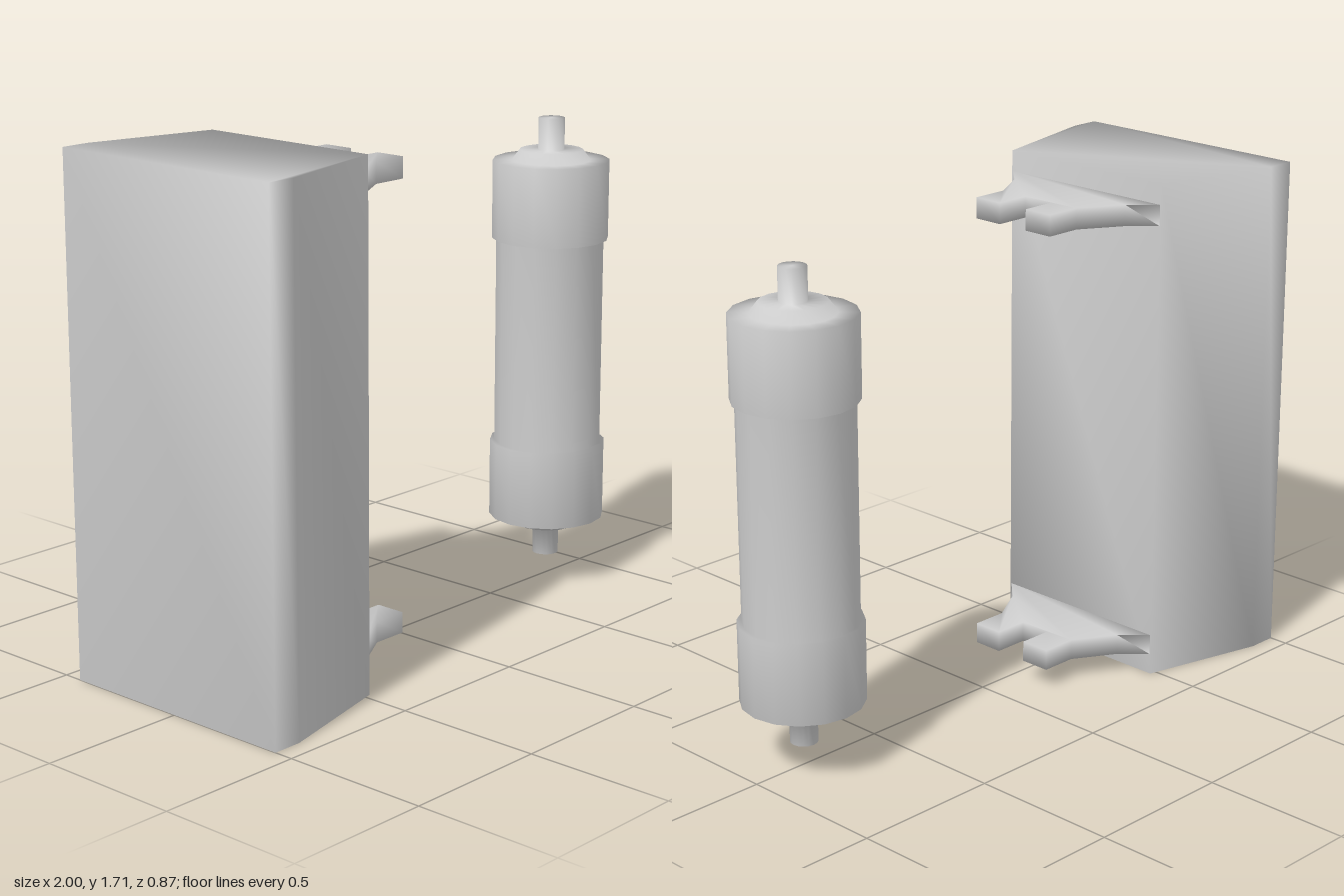
import * as THREE from 'three';
import { mergeVertices } from 'three/addons/utils/BufferGeometryUtils.js';

const material = new THREE.MeshStandardMaterial({ color: 0xcccccc });

// Weld shared corners so shading runs smoothly over each part
function smooth(geometry) {
  geometry.deleteAttribute('normal');
  geometry.deleteAttribute('uv');
  const welded = mergeVertices(geometry, 1e-4);
  welded.computeVertexNormals();
  return welded;
}

function addMesh(parent, name, geometry) {
  const mesh = new THREE.Mesh(geometry, material);
  mesh.name = name;
  parent.add(mesh);
  return mesh;
}

// Upright prism from one half of a plan outline [x, z], mirrored in z
function prism(half, height) {
  const outline = [...half, ...half.map(([x, z]) => [x, -z]).reverse()];
  const shape = new THREE.Shape(outline.map(([x, z]) => new THREE.Vector2(x, z)));
  const geometry = new THREE.ExtrudeGeometry(shape, { depth: height, bevelEnabled: false });
  geometry.rotateX(-Math.PI / 2);
  return smooth(geometry);
}

export function createModel() {
  const model = new THREE.Group();

  // Tapered solid housing
  const holder = new THREE.Group();
  holder.name = 'holder';
  addMesh(holder, 'housing', prism([[-1, 0.435], [-0.9, 0.435], [-0.477, 0.33]], 1.707));

  // Forked brackets at both ends
  const fork = prism([
    [-0.477, 0.325], [-0.4, 0.245], [-0.26, 0.163], [-0.137, 0.163], [-0.137, 0.057], [-0.255, 0.057],
  ], 0.07);
  addMesh(holder, 'lowerBracket', fork).position.y = 0.071;
  addMesh(holder, 'upperBracket', fork).position.y = 1.567;
  model.add(holder);

  // Free-standing cartridge: tube, end caps, collars and pins in one turned profile
  const upper = [
    [0.185, 0.36], [0.2, 0.36], [0.2, 0.63], [0.135, 0.63],
    [0.108, 0.665], [0.045, 0.665], [0.045, 0.774], [0, 0.774],
  ];
  const profile = [...upper.map(([r, y]) => [r, -y]).reverse(), ...upper];
  const turned = new THREE.LatheGeometry(profile.map(([r, y]) => new THREE.Vector2(r, y)), 16);
  addMesh(model, 'cartridge', smooth(turned)).position.set(0.8, 0.855, 0);

  return model;
}
